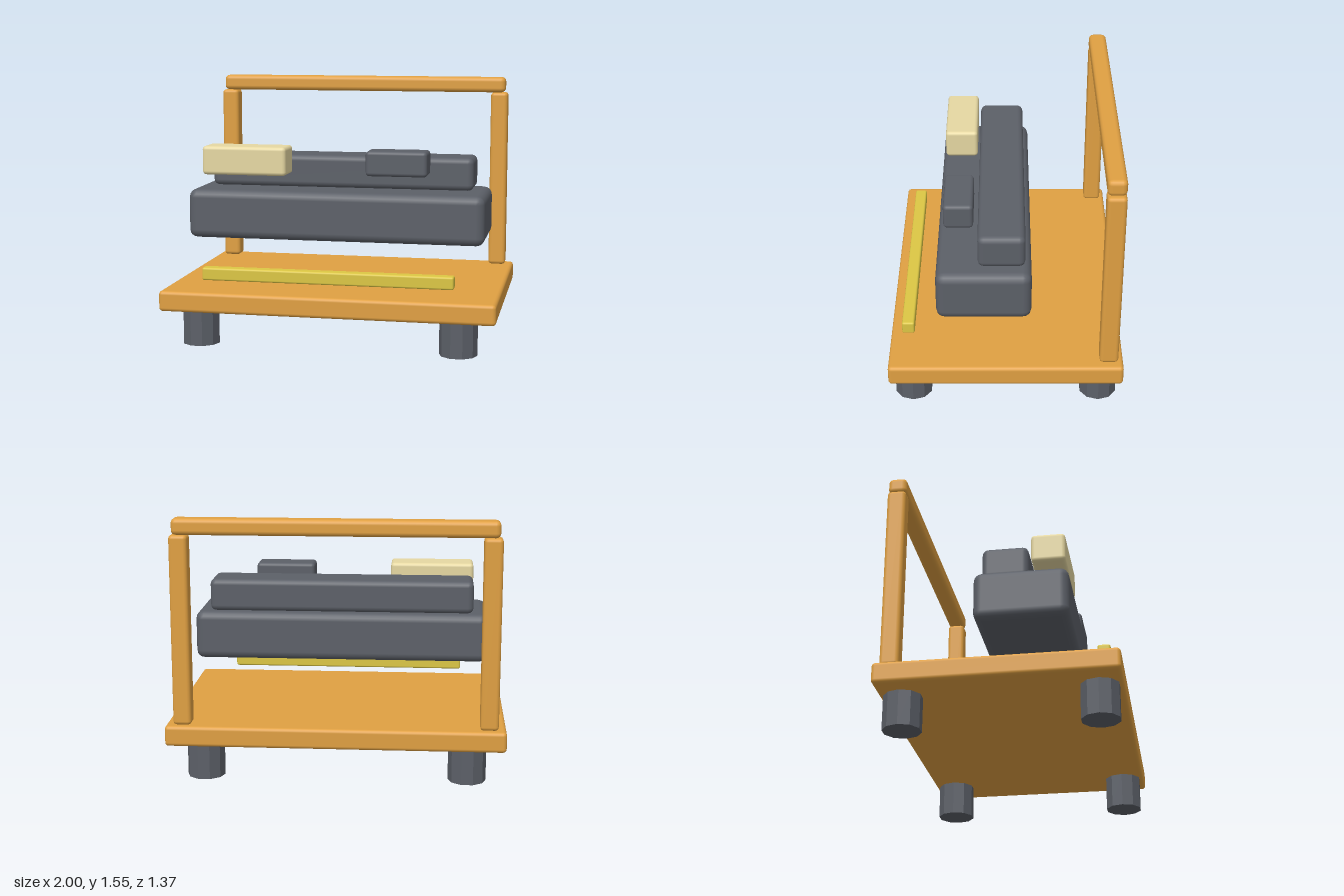
import * as THREE from 'three';
import { RoundedBoxGeometry } from 'three/addons/geometries/RoundedBoxGeometry.js';

const material = (color) => new THREE.MeshStandardMaterial({ color });

export function createModel() {
  const model = new THREE.Group();
  model.name = 'platformCart';

  const orange = material(0xe0a042);
  const grey = material(0x5c6068);
  const cream = material(0xe6d8a2);
  const yellow = material(0xdcc744);
  const wheelGrey = material(0x5c6068);
  wheelGrey.flatShading = true;

  // Rounded box given by its extents along each axis
  const block = (name, mat, [x0, x1], [y0, y1], [z0, z1], radius) => {
    const geometry = new RoundedBoxGeometry(x1 - x0, y1 - y0, z1 - z0, 2, radius);
    const mesh = new THREE.Mesh(geometry, mat);
    mesh.name = name;
    mesh.position.set((x0 + x1) / 2, (y0 + y1) / 2, (z0 + z1) / 2);
    model.add(mesh);
  };

  // Deck
  block('deck', orange, [-1, 1], [0.205, 0.328], [-0.685, 0.685], 0.022);

  // Rear handle frame
  block('leftPost', orange, [0.845, 0.953], [0.328, 1.453], [-0.655, -0.545], 0.022);
  block('rightPost', orange, [-0.953, -0.845], [0.328, 1.453], [-0.655, -0.545], 0.022);
  block('handleRail', orange, [-0.937, 0.937], [1.453, 1.55], [-0.655, -0.545], 0.028);

  // Stacked load
  block('lowerCase', grey, [-0.9, 0.9], [0.605, 0.902], [-0.148, 0.4], 0.05);
  block('upperCase', grey, [-0.81, 0.81], [0.902, 1.1], [-0.112, 0.16], 0.035);
  block('paleBox', cream, [-0.813, -0.295], [0.992, 1.165], [0.175, 0.375], 0.022);
  block('smallBox', grey, [0.188, 0.556], [1.003, 1.153], [0.188, 0.362], 0.022);

  // Front strip
  block('frontStrip', yellow, [-0.75, 0.75], [0.39, 0.466], [0.538, 0.612], 0.012);

  // Ten-sided feet
  const footGeometry = new THREE.CylinderGeometry(0.112, 0.112, 0.205, 10);
  footGeometry.rotateY(Math.PI / 2);
  for (const [side, x] of [['Left', 0.775], ['Right', -0.775]]) {
    for (const [end, z] of [['front', 0.552], ['back', -0.552]]) {
      const foot = new THREE.Mesh(footGeometry, wheelGrey);
      foot.name = `${end}${side}Foot`;
      foot.position.set(x, 0.1025, z);
      model.add(foot);
    }
  }

  return model;
}
